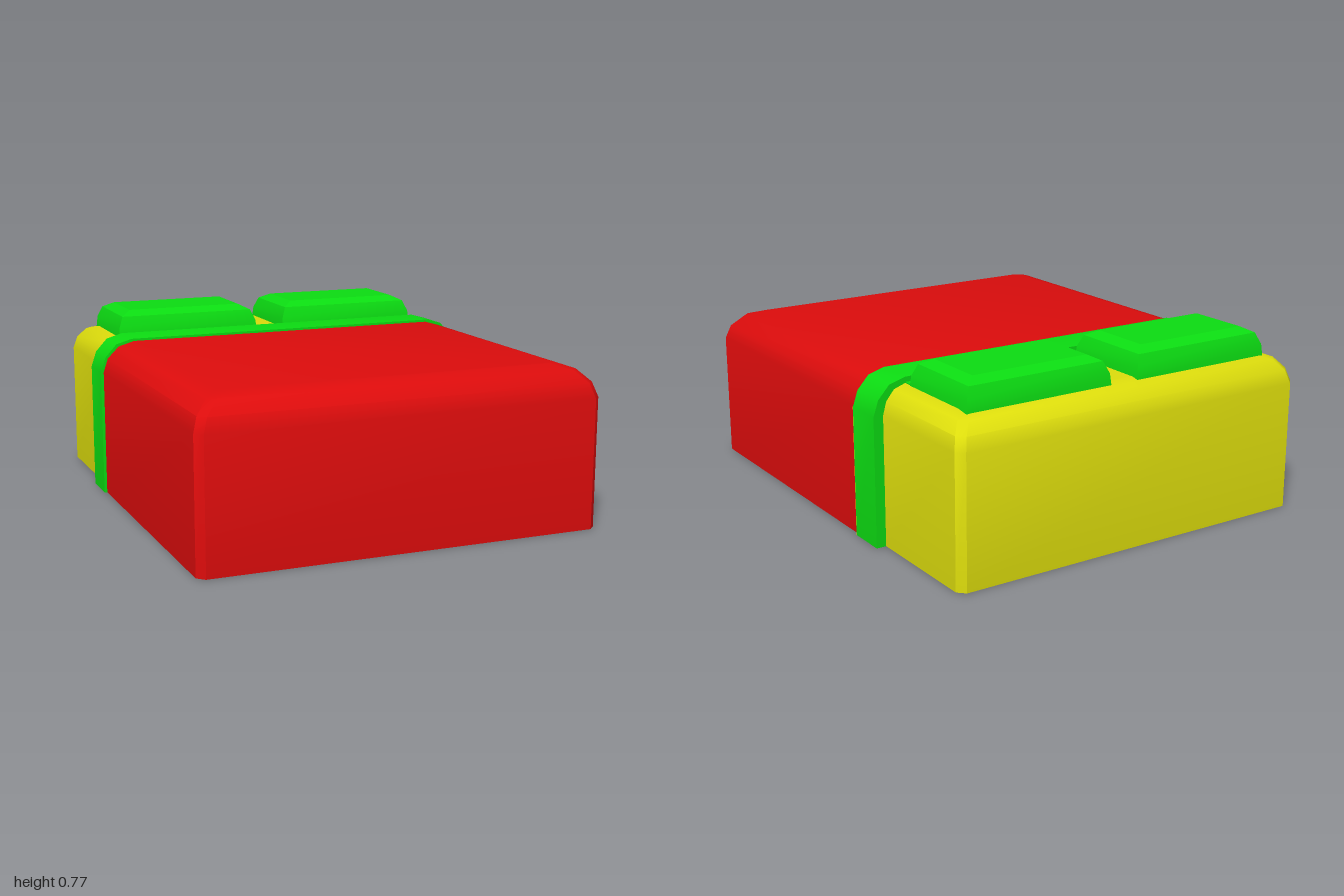
import * as THREE from 'three';
import { toCreasedNormals } from 'three/addons/utils/BufferGeometryUtils.js';

const material = (name, color) => {
  const m = new THREE.MeshStandardMaterial({ color });
  m.name = name;
  return m;
};

// Skin a stack of rings (counter-clockwise from above) and cap both ends.
function loft(rings, crease) {
  const n = rings[0].length;
  const index = [];
  for (let r = 0; r < rings.length - 1; r++) {
    for (let i = 0; i < n; i++) {
      const j = (i + 1) % n;
      const a = r * n + i, b = r * n + j;
      index.push(a, b, b + n, a, b + n, a + n);
    }
  }
  const top = (rings.length - 1) * n;
  for (let i = 1; i < n - 1; i++) {
    index.push(0, i + 1, i, top, top + i, top + i + 1);
  }
  const g = new THREE.BufferGeometry();
  g.setAttribute('position', new THREE.Float32BufferAttribute(rings.flat(2), 3));
  g.setIndex(index);
  return toCreasedNormals(g, crease);
}

// Block with a flat end at z0 and a softened end at z1; steps are [y, x inset, z inset].
function bedBlock(halfWidth, z0, z1, steps) {
  const c = 0.03;
  const rings = steps.map(([y, ix, iz]) => {
    const w = halfWidth - ix, z = z1 - iz;
    return [[w, y, z - c], [w, y, z0], [-w, y, z0], [-w, y, z - c], [-w + c, y, z], [w - c, y, z]];
  });
  return loft(rings, 0.65);
}

// Cushion with stepped-in upper edges; steps are [y, inset].
function cushion(halfX, halfZ, steps) {
  return loft(steps.map(([y, s]) => {
    const x = halfX - s, z = halfZ - s;
    return [[x, y, z], [x, y, -z], [-x, y, -z], [-x, y, z]];
  }), 0.3);
}

export function createModel() {
  const red = material('blanket red', 0xdd0c0c);
  const green = material('linen green', 0x0cdd12);
  const yellow = material('mattress yellow', 0xdddd0c);

  const bed = new THREE.Group();
  bed.name = 'bed';
  const add = (name, geometry, mat, x = 0, y = 0, z = 0) => {
    const mesh = new THREE.Mesh(geometry, mat);
    mesh.name = name;
    mesh.position.set(x, y, z);
    bed.add(mesh);
    return mesh;
  };

  // Blanket over the foot end
  add('blanket', bedBlock(0.85, -0.29, 1,
    [[0, 0, 0], [0.54, 0, 0], [0.6, 0.02, 0.02], [0.65, 0.07, 0.065], [0.67, 0.14, 0.13]]), red);

  // Bare mattress at the head end, turned to face backwards
  add('mattress', bedBlock(0.82, 0.45, 1,
    [[0, 0, 0], [0.54, 0, 0], [0.595, 0.015, 0.02], [0.638, 0.05, 0.06], [0.655, 0.1, 0.13]]), yellow)
    .rotation.y = Math.PI;

  // Folded sheet band across the bed
  const half = [[0.862, 0], [0.862, 0.54], [0.84, 0.605], [0.79, 0.66], [0.72, 0.68]];
  const outline = [...half, ...half.map(([x, y]) => [-x, y]).reverse()];
  const band = new THREE.ExtrudeGeometry(
    new THREE.Shape(outline.map(([x, y]) => new THREE.Vector2(x, y))),
    { depth: 0.165, bevelEnabled: false });
  add('foldedSheet', toCreasedNormals(band, 0.65), green, 0, 0, -0.453);

  // Narrow edge strip on the left front of the band
  add('sheetEdge', new THREE.BoxGeometry(0.012, 0.54, 0.003), yellow, 0.856, 0.27, -0.287);

  // Pillows, each with a strip of sheet in front
  for (const side of [-1, 1]) {
    add(side > 0 ? 'leftPillow' : 'rightPillow',
      cushion(0.33, 0.203, [[0.645, 0], [0.695, 0.005], [0.743, 0.025], [0.766, 0.07]]),
      green, side * 0.393, 0, -0.695);
    add(side > 0 ? 'leftSheetStrip' : 'rightSheetStrip',
      new THREE.BoxGeometry(0.66, 0.006, 0.06), green, side * 0.39, 0.656, -0.475);
  }
  return bed;
}
